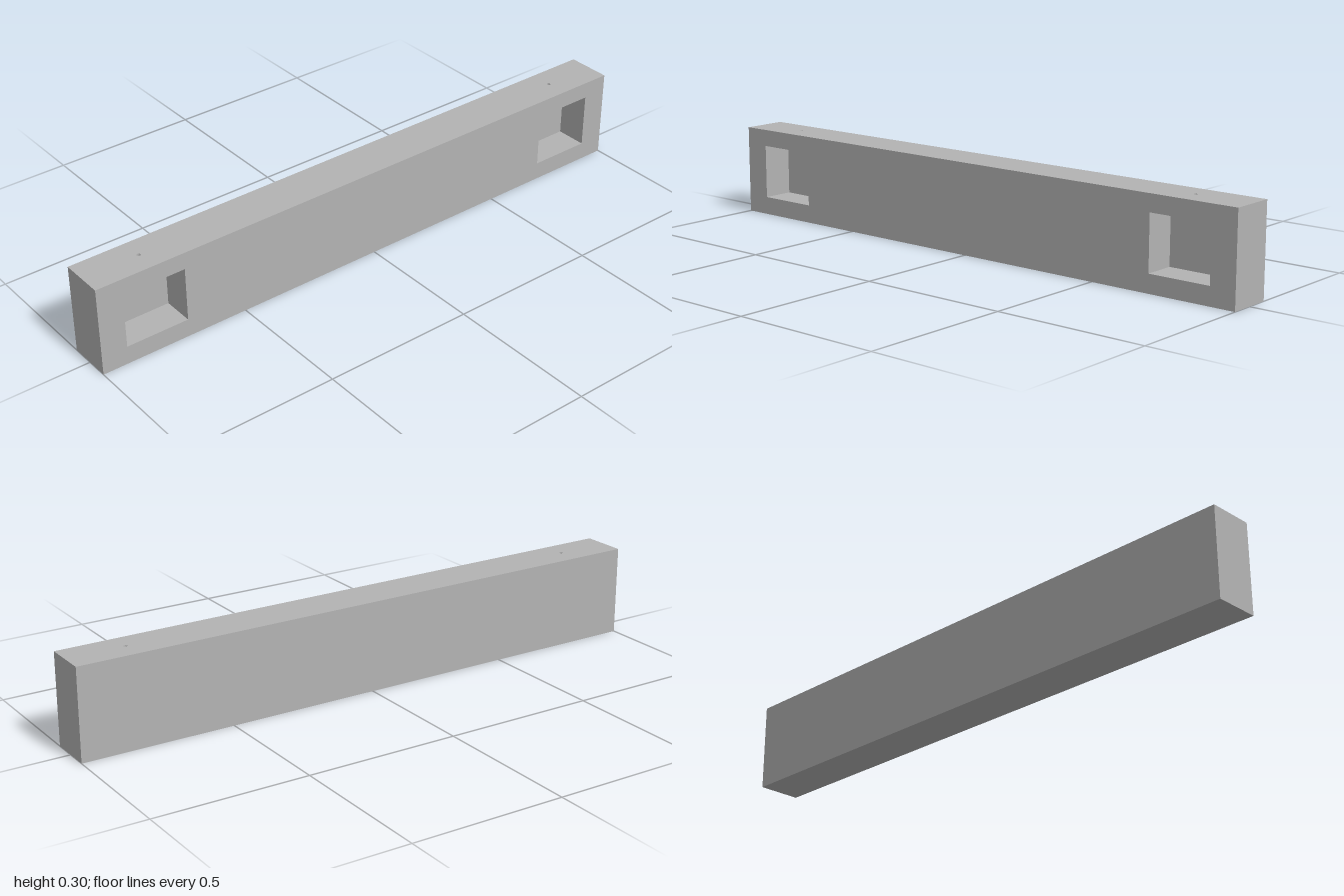
import * as THREE from 'three';

const W = 0.148, H = 0.296, L = 2;                 // beam width (x), height (y), length (z)
const P = { z: 0.81, len: 0.21, h: 0.18, depth: 0.105 }; // side pockets
const BORE = 0.006;                                // radius of the drilled holes

// In-plane axes [u, v] for a face looking along each direction
const AXES = {
  '+x': [[0, 0, -1], [0, 1, 0]], '-x': [[0, 0, 1], [0, 1, 0]],
  '+y': [[1, 0, 0], [0, 0, -1]], '-y': [[1, 0, 0], [0, 0, 1]],
  '+z': [[1, 0, 0], [0, 1, 0]], '-z': [[-1, 0, 0], [0, 1, 0]],
};

function rectangle(path, w, h, cx = 0, cy = 0) {
  path.moveTo(cx - w / 2, cy - h / 2).lineTo(cx + w / 2, cy - h / 2);
  path.lineTo(cx + w / 2, cy + h / 2).lineTo(cx - w / 2, cy + h / 2);
  path.closePath();
  return path;
}

const circle = (cx, cy) => new THREE.Path().absarc(cx, cy, BORE, 0, Math.PI * 2, true);

export function createModel() {
  const model = new THREE.Group();
  model.name = 'mortisedBeam';
  const grey = new THREE.MeshStandardMaterial({ color: 0xb3b3b3, side: THREE.DoubleSide });
  grey.name = 'grey';

  // Flat rectangular face, centred at a position, with optional holes
  function face(parent, name, dir, w, h, position, holes = []) {
    const shape = rectangle(new THREE.Shape(), w, h);
    shape.holes.push(...holes);
    const [u, v] = AXES[dir].map((a) => new THREE.Vector3(...a));
    const basis = new THREE.Matrix4().makeBasis(u, v, u.clone().cross(v));
    basis.setPosition(...position);
    const mesh = new THREE.Mesh(new THREE.ShapeGeometry(shape, 16).applyMatrix4(basis), grey);
    mesh.name = name;
    parent.add(mesh);
  }

  // Outer skin
  const ends = [-P.z, P.z];
  const mid = H / 2;
  face(model, 'pocketedSide', '+x', L, H, [W / 2, mid, 0],
    ends.map((z) => rectangle(new THREE.Path(), P.len, P.h, -z, 0.002)));
  face(model, 'plainSide', '-x', L, H, [-W / 2, mid, 0]);
  face(model, 'top', '+y', W, L, [0, H, 0], ends.map((z) => circle(0, -z)));
  face(model, 'bottom', '-y', W, L, [0, 0, 0]);
  face(model, 'frontEnd', '+z', W, H, [0, mid, L / 2]);
  face(model, 'backEnd', '-z', W, H, [0, mid, -L / 2]);

  // Pockets, each reached by a small hole drilled from the top
  const cy = mid + 0.002, ceiling = cy + P.h / 2;
  const cx = W / 2 - P.depth / 2;
  for (const z of ends) {
    const pocket = new THREE.Group();
    pocket.name = z > 0 ? 'frontPocket' : 'backPocket';
    face(pocket, 'pocketBack', '+x', P.len, P.h, [W / 2 - P.depth, cy, z]);
    face(pocket, 'pocketFloor', '+y', P.depth, P.len, [cx, cy - P.h / 2, z]);
    face(pocket, 'pocketCeiling', '-y', P.depth, P.len, [cx, ceiling, z], [circle(-cx, 0)]);
    face(pocket, 'pocketRearWall', '+z', P.depth, P.h, [cx, cy, z - P.len / 2]);
    face(pocket, 'pocketFrontWall', '-z', P.depth, P.h, [cx, cy, z + P.len / 2]);
    const bore = new THREE.Mesh(
      new THREE.CylinderGeometry(BORE, BORE, H - ceiling, 32, 1, true), grey);
    bore.name = 'drilledHole';
    bore.position.set(0, (H + ceiling) / 2, z);
    pocket.add(bore);
    model.add(pocket);
  }
  return model;
}
